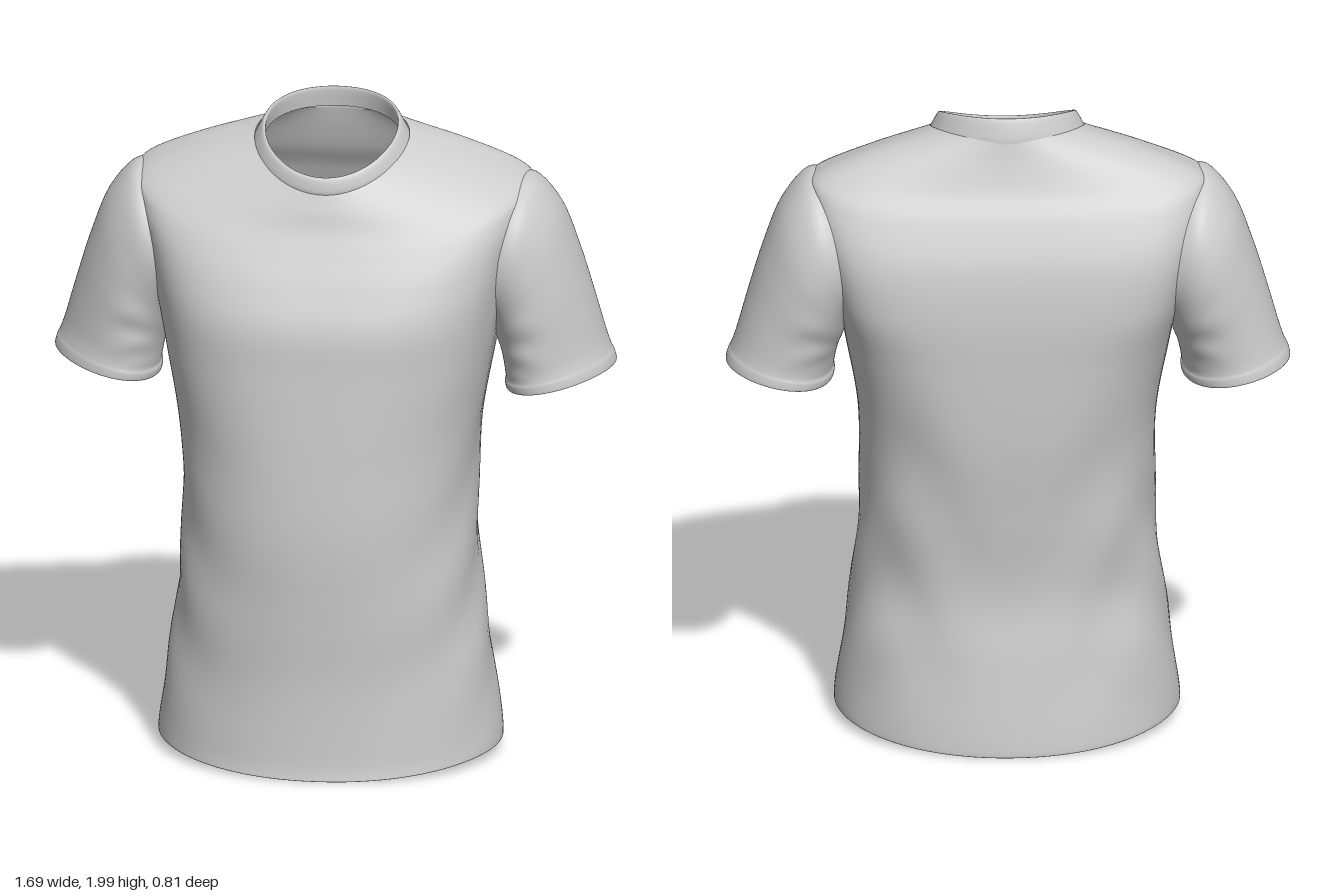
import * as THREE from 'three';

const SEG = 120;
const cloth = new THREE.MeshStandardMaterial({ color: 0xcccccc, side: THREE.DoubleSide });
cloth.name = 'light grey cloth';

// Smooth interpolation through rows of section parameters
function refine(rows, steps) {
  const out = [];
  const at = (i) => rows[Math.min(Math.max(i, 0), rows.length - 1)];
  for (let i = 0; i < rows.length - 1; i++) {
    for (let k = 0; k < steps; k++) {
      const t = k / steps, t2 = t * t, t3 = t2 * t;
      out.push(rows[i].map((b, c) => {
        const a = at(i - 1)[c], d = at(i + 1)[c], e = at(i + 2)[c];
        return 0.5 * (2 * b + (d - a) * t + (2 * a - 5 * b + 4 * d - e) * t2 + (3 * b - a - 3 * d + e) * t3);
      }));
    }
  }
  out.push(rows[rows.length - 1]);
  return out;
}

// Skin of closed rings; point(row, angle) gives [x, y, z], isHole(point) leaves faces out
function loft(name, rows, steps, point, isHole = () => false) {
  const rings = refine(rows, steps);
  const pos = [], index = [];
  rings.forEach((row, i) => {
    for (let j = 0; j < SEG; j++) {
      const p = point(row, (j / SEG) * Math.PI * 2);
      pos.push(...p);
      if (i === rings.length - 1 || isHole(p)) continue;
      const a = i * SEG + j, b = i * SEG + ((j + 1) % SEG);
      index.push(a, a + SEG, b, b, a + SEG, b + SEG);
    }
  });
  const geo = new THREE.BufferGeometry();
  geo.setAttribute('position', new THREE.Float32BufferAttribute(pos, 3));
  geo.setIndex(index);
  geo.computeVertexNormals();
  const mesh = new THREE.Mesh(geo, cloth);
  mesh.name = name;
  return mesh;
}

const power = (v, p) => Math.sign(v) * Math.pow(Math.abs(v), p);
const bump = (v, centre, width) => Math.exp(-(((v - centre) / width) ** 2));

// Body ring: [side y, half width, side z, front y, front z, back y, back z, front roundness, back roundness]
function bodyPoint([ys, w, zs, yf, zf, yb, zb, nf, nb], a) {
  const c = Math.cos(a), s = Math.sin(a);
  const n = s > 0 ? nf : nb;
  // Blend the exponent near the sides so front and back meet smoothly
  const e = 2 / (n + ((nf + nb) / 2 - n) * (1 - Math.min(1, Math.abs(s) * 3)));
  const x = w * power(c, e);
  const z = zs + Math.abs((s > 0 ? zf : zb) - zs) * power(s, e);
  // Tilt from back to front plus a drop from the sides
  const y = ys + ((yf - yb) / 2) * s + ((yf + yb) / 2 - ys) * s * s;
  return [x, y, z];
}

// Drape folds: slanted at the waist sides, diagonal across the lower back
function drapedPoint(row, a) {
  const [x, y, z] = bodyPoint(row, a);
  const ax = Math.abs(x);
  const sides = bump(y, 0.55, 0.4) * Math.min(1, (ax / 0.42) ** 2);
  const back = z < 0 ? bump(y, 0.65, 0.4) * bump(ax, 0.27, 0.15) : 0;
  const f = 1 + 0.01 * sides * Math.sin(17 * y + 17 * z + (x > 0 ? 0 : 1.3))
    + 0.018 * back * Math.sin(10 * y - 18 * ax);
  return [x * f, y, z * f];
}

// Opening of the body wall inside each sleeve
const inArmhole = ([x, y, z]) =>
  Math.abs(x) > 0.4 && ((z + 0.095) / 0.18) ** 2 + ((y - 1.555) / 0.185) ** 2 < 1;

const bodyRows = [
  [0.09, 0.498, 0, 0.055, 0.38, 0.055, -0.38, 2.1, 2.1],
  [0.04, 0.515, 0, 0.006, 0.397, 0.004, -0.397, 2.1, 2.1],
  [0.10, 0.513, 0, 0.07, 0.39, 0.07, -0.393, 2.1, 2.1],
  [0.30, 0.485, 0, 0.29, 0.385, 0.29, -0.365, 2.15, 2.2],
  [0.50, 0.458, 0, 0.50, 0.397, 0.50, -0.34, 2.2, 2.3],
  [0.75, 0.442, 0, 0.75, 0.41, 0.75, -0.363, 2.2, 2.4],
  [1.00, 0.447, 0, 1.00, 0.40, 1.00, -0.39, 2.35, 2.6],
  [1.25, 0.487, -0.02, 1.25, 0.383, 1.25, -0.40, 2.6, 3.2],
  [1.42, 0.518, -0.06, 1.40, 0.37, 1.42, -0.40, 2.8, 4.2],
  [1.58, 0.553, -0.09, 1.52, 0.325, 1.57, -0.38, 2.9, 4.4],
  [1.72, 0.59, -0.10, 1.61, 0.28, 1.70, -0.33, 2.6, 3.4],
  [1.785, 0.578, -0.10, 1.68, 0.245, 1.78, -0.285, 2.3, 2.6],
  [1.858, 0.41, -0.08, 1.74, 0.225, 1.86, -0.255, 2.1, 2.2],
  [1.905, 0.232, -0.03, 1.795, 0.203, 1.935, -0.234, 2, 2],
];

const collarRows = [
  [1.895, 0.234, -0.03, 1.785, 0.204, 1.922, -0.237, 2, 2],
  [1.91, 0.226, -0.025, 1.80, 0.207, 1.945, -0.234, 2, 2],
  [1.935, 0.212, -0.02, 1.83, 0.202, 1.985, -0.222, 2, 2],
  [1.945, 0.203, -0.02, 1.84, 0.194, 1.998, -0.214, 2, 2],
  [1.935, 0.198, -0.02, 1.832, 0.188, 1.988, -0.209, 2, 2],
  [1.89, 0.205, -0.02, 1.79, 0.19, 1.935, -0.216, 2, 2],
];

// Sleeve ring: [outer x, outer y, inner x, inner y, front z, back z]
const sleeveRows = [
  [0.53, 1.772, 0.44, 1.335, 0.13, -0.30],
  [0.60, 1.782, 0.478, 1.32, 0.14, -0.325],
  [0.68, 1.69, 0.492, 1.28, 0.13, -0.33],
  [0.735, 1.55, 0.505, 1.245, 0.12, -0.32],
  [0.778, 1.41, 0.513, 1.21, 0.108, -0.307],
  [0.812, 1.29, 0.518, 1.18, 0.10, -0.30],
  [0.829, 1.24, 0.52, 1.163, 0.10, -0.30],
  [0.838, 1.222, 0.517, 1.15, 0.103, -0.304],
  [0.844, 1.195, 0.522, 1.132, 0.102, -0.304],
  [0.828, 1.205, 0.537, 1.145, 0.09, -0.29],
  [0.812, 1.25, 0.535, 1.185, 0.09, -0.287],
];

function sleevePoint(side) {
  return ([ox, oy, ix, iy, zf, zb], a) => {
    const c = Math.cos(a), s = Math.sin(a) * -side;
    // Soft creases gathering toward the underarm
    const crease = 1 + 0.02 * bump(oy, 1.48, 0.16) * bump(c, -0.45, 0.5) * Math.sin(30 * oy + 6 * c);
    const x = (ox + ix) / 2 + ((ox - ix) / 2) * c;
    const y = (oy + iy) / 2 + ((oy - iy) / 2) * c;
    // Toward the cuff the outer side narrows and leans back
    const low = Math.min(1, Math.max(0, (1.78 - oy) / 0.5));
    const z = (zf + zb) / 2 + ((zf - zb) / 2) * s * crease * (1 - 0.12 * low * c) - 0.025 * low * c;
    return [side * x, y, z];
  };
}

export function createModel() {
  const shirt = new THREE.Group();
  shirt.name = 'shirt';
  shirt.add(loft('body', bodyRows, 10, drapedPoint, inArmhole));
  shirt.add(loft('collar', collarRows, 3, bodyPoint));
  shirt.add(loft('leftSleeve', sleeveRows, 5, sleevePoint(1)));
  shirt.add(loft('rightSleeve', sleeveRows, 5, sleevePoint(-1)));
  return shirt;
}
